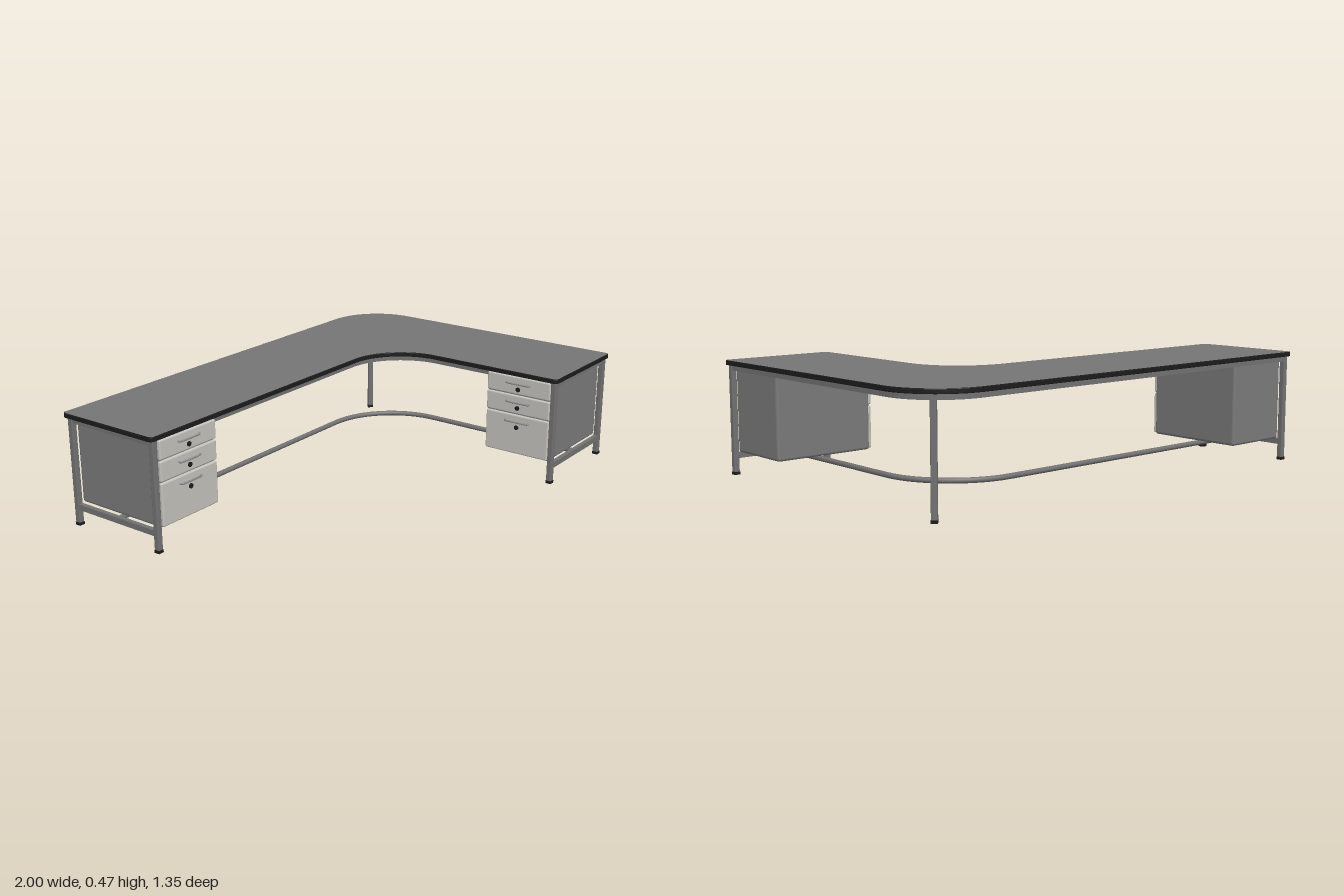
import * as THREE from 'three';
import { RoundedBoxGeometry } from 'three/addons/geometries/RoundedBoxGeometry.js';

const mat = (name, color) => Object.assign(new THREE.MeshStandardMaterial({ color }), { name });
const { PI } = Math;

// L-shaped outline inset by d, drawn in x and -z
function outline(d, r, Type = THREE.Shape) {
  const s = new Type();
  s.absarc(-1 + d + r, 0.675 - d - r, r, PI / 2, PI);
  s.absarc(-1 + d + r, 0.19 + d + r, r, PI, 1.5 * PI);
  s.absarc(0.255, -0.06, 0.25 + d, PI / 2, 0, true);
  s.absarc(0.505 + d + r, -0.67 + d + r, r, PI, 1.5 * PI);
  s.absarc(1 - d - r, -0.67 + d + r, r, 1.5 * PI, 2 * PI);
  s.absarc(0.75, 0.425, 0.25 - d, 0, PI / 2);
  s.closePath();
  return s;
}

export function createModel() {
  const desk = new THREE.Group();
  desk.name = 'cornerDesk';
  const topGrey = mat('topGrey', 0x757575);
  const panelGrey = mat('panelGrey', 0x7a7a7a);
  const frameGrey = mat('frameGrey', 0x727272);
  const drawerGrey = mat('drawerGrey', 0xc4c2bc);
  const metal = mat('handleMetal', 0x8c8c8c);
  const black = mat('edgeBlack', 0x1c1c1c);

  const add = (parent, name, geo, material, x = 0, y = 0, z = 0) => {
    const m = new THREE.Mesh(geo, material);
    m.name = name;
    m.position.set(x, y, z);
    parent.add(m);
    return m;
  };

  // Desktop with a dark edge band
  const topGeo = new THREE.ExtrudeGeometry(outline(0, 0.02), {
    depth: 0.014, bevelThickness: 0.003, bevelSize: 0.003, bevelOffset: -0.003,
    bevelSegments: 2, curveSegments: 24,
  }).rotateX(-PI / 2);
  add(desk, 'desktop', topGeo, [topGrey, black], 0, 0.458, 0);

  // Frame under the desktop
  const frame = outline(0.017, 0.005);
  frame.holes.push(outline(0.042, 0.005, THREE.Path));
  const frameGeo = new THREE.ExtrudeGeometry(frame, { depth: 0.022, bevelEnabled: false, curveSegments: 24 });
  add(desk, 'topFrame', frameGeo.rotateX(-PI / 2), frameGrey, 0, 0.433, 0);

  // Legs with dark feet; the corner leg is turned 45 degrees
  const legs = [[-0.974, -0.65, 0], [-0.974, -0.21, 0], [0.53, 0.648, 0], [0.974, 0.648, 0], [0.895, -0.573, PI / 4]];
  for (const [x, z, turn] of legs) {
    const leg = new THREE.Group();
    leg.name = 'leg';
    leg.position.set(x, 0, z);
    leg.rotation.y = turn;
    add(leg, 'legPost', new RoundedBoxGeometry(0.024, 0.445, 0.024, 2, 0.004), frameGrey, 0, 0.2325, 0);
    add(leg, 'foot', new THREE.BoxGeometry(0.025, 0.012, 0.025), black, 0, 0.006, 0);
    desk.add(leg);
  }

  // Low end rails
  add(desk, 'endRail', new THREE.BoxGeometry(0.02, 0.024, 0.42), frameGrey, -0.974, 0.08, -0.43);
  add(desk, 'endRail', new THREE.BoxGeometry(0.43, 0.024, 0.02), frameGrey, 0.752, 0.08, 0.648);

  // Foot rail following the middle of the desk
  const R = 0.33, cx = 0.752, cz = -0.43, y = 0.08;
  const corner = [];
  for (let i = 0; i <= 20; i++) {
    const a = (i / 20) * PI / 2;
    corner.push(new THREE.Vector3(cx - R + R * Math.sin(a), y, cz + R - R * Math.cos(a)));
  }
  const railPath = new THREE.CurvePath();
  railPath.add(new THREE.LineCurve3(new THREE.Vector3(-0.974, y, cz), corner[0]));
  railPath.add(new THREE.CatmullRomCurve3(corner));
  railPath.add(new THREE.LineCurve3(corner[20], new THREE.Vector3(cx, y, 0.648)));
  add(desk, 'footRail', new THREE.TubeGeometry(railPath, 120, 0.011, 10), frameGrey);

  // Drawer pedestal: front faces local +z, origin at the front face of the body
  const drawers = [[0.37, 0.45], [0.282, 0.366], [0.1, 0.278]];
  const handlePath = new THREE.CatmullRomCurve3([
    [-0.055, 0, 0.008], [-0.055, 0, 0.017], [-0.05, 0, 0.019], [0.05, 0, 0.019], [0.055, 0, 0.017], [0.055, 0, 0.008],
  ].map((p) => new THREE.Vector3(...p)), false, 'centripetal');
  const pedestal = (name, x, z, turn) => {
    const g = new THREE.Group();
    g.name = name;
    g.position.set(x, 0, z);
    g.rotation.y = turn;
    add(g, 'cabinet', new RoundedBoxGeometry(0.31, 0.356, 0.44, 3, 0.012), panelGrey, 0, 0.272, -0.22);
    for (const [lo, hi] of drawers) {
      add(g, 'drawerFront', new RoundedBoxGeometry(0.306, hi - lo, 0.02, 3, 0.007), drawerGrey, 0, (lo + hi) / 2, 0);
      add(g, 'handle', new THREE.TubeGeometry(handlePath, 32, 0.004, 8), metal, 0, hi - 0.03, 0);
      const lock = new THREE.CylinderGeometry(0.01, 0.01, 0.006, 16).rotateX(PI / 2);
      add(g, 'lock', lock, black, 0, hi - 0.056, 0.012);
    }
    desk.add(g);
  };
  pedestal('rightPedestal', -0.803, -0.204, 0);
  pedestal('leftPedestal', 0.526, 0.482, -PI / 2);
  return desk;
}
